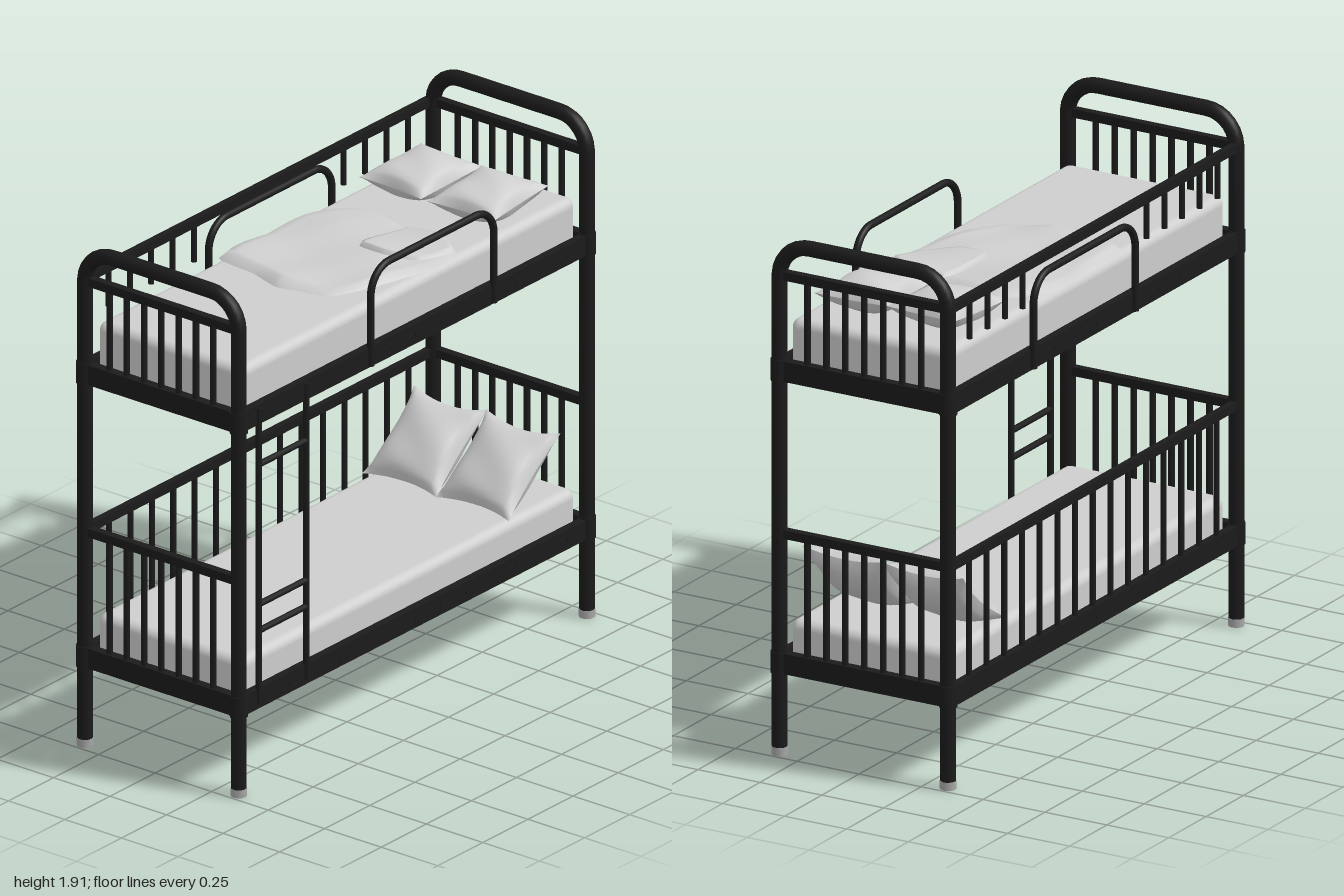
import * as THREE from 'three';
import { RoundedBoxGeometry } from 'three/addons/geometries/RoundedBoxGeometry.js';

const mat = (name, color, side = THREE.FrontSide) =>
  new THREE.MeshStandardMaterial({ name, color, side });

export function createModel() {
  const metal = mat('black metal', 0x1b1b1b);
  const fabric = mat('pale fabric', 0xcecece, THREE.DoubleSide);
  const capGrey = mat('foot cap grey', 0xa8a8a8);
  const model = new THREE.Group();
  model.name = 'bunkBed';

  const V = (x, y, z) => new THREE.Vector3(x, y, z);
  const add = (name, geo, m, x = 0, y = 0, z = 0) => {
    const mesh = new THREE.Mesh(geo, m);
    mesh.name = name;
    mesh.position.set(x, y, z);
    model.add(mesh);
    return mesh;
  };
  const box = (name, w, h, d, x, y, z) => add(name, new THREE.BoxGeometry(w, h, d), metal, x, y, z);
  // Round bar between two points
  const bar = (name, a, b, r, m = metal) => {
    const dir = b.clone().sub(a);
    const mesh = add(name, new THREE.CylinderGeometry(r, r, dir.length(), 12), m);
    mesh.position.copy(a).add(b).multiplyScalar(0.5);
    mesh.quaternion.setFromUnitVectors(V(0, 1, 0), dir.normalize());
    return mesh;
  };
  // Bent tube: two uprights joined by a top bar with rounded corners
  const arch = (name, lo, hi, bottom, top, bend, r, at) => {
    const path = new THREE.CurvePath();
    const a = at(lo, top - bend), b = at(lo + bend, top), c = at(hi - bend, top), d = at(hi, top - bend);
    const k = bend * 0.55;
    path.add(new THREE.LineCurve3(at(lo, bottom), a));
    path.add(new THREE.CubicBezierCurve3(a, at(lo, top - bend + k), at(lo + bend - k, top), b));
    path.add(new THREE.LineCurve3(b, c));
    path.add(new THREE.CubicBezierCurve3(c, at(hi - bend + k, top), at(hi, top - bend + k), d));
    path.add(new THREE.LineCurve3(d, at(hi, bottom)));
    add(name, new THREE.TubeGeometry(path, 160, r, 14), metal);
    for (const s of [lo, hi]) bar(name + 'End', at(s, bottom - 0.002), at(s, bottom + 0.004), r);
  };

  // Bed ends: bent posts, foot caps, rails and spindles
  for (const x of [-0.965, 0.965]) {
    arch('endPosts', -0.338, 0.342, 0.02, 1.88, 0.12, 0.028, (s, y) => V(x, y, s));
    for (const z of [-0.338, 0.342]) {
      bar('footCap', V(x, 0, z), V(x, 0.03, z), 0.029, capGrey);
      for (const y of [0.34, 1.415]) bar('postCollar', V(x, y - 0.04, z), V(x, y + 0.04, z), 0.032);
    }
    for (const [bottom, top] of [[0.34, 0.815], [1.415, 1.765]]) {
      box('endRail', 0.035, 0.075, 0.68, x, bottom, 0);
      box('endTopRail', 0.03, 0.032, 0.68, x, top, 0);
      for (let i = -3; i <= 3; i++)
        bar('endSpindle', V(x, bottom, i * 0.0765), V(x, top, i * 0.0765), 0.0115);
    }
  }

  // Long side rails with bolts
  for (const y of [0.338, 1.415])
    for (const z of [-0.342, 0.342]) {
      box('sideRail', 1.93, 0.075, 0.03, 0, y, z);
      for (let i = -6; i <= 6; i++) {
        const s = Math.sign(z);
        bar('bolt', V(i * 0.14, y, z + s * 0.01), V(i * 0.14, y, z + s * 0.019), 0.008);
      }
    }

  // Back guards: full spindles below, short ones above
  box('lowerBackGuard', 1.93, 0.032, 0.025, 0, 0.815, -0.342);
  box('upperBackGuard', 1.93, 0.032, 0.025, 0, 1.765, -0.345);
  for (let i = 0; i < 16; i++) {
    const x = -0.945 + i * 0.1185;
    if (i > 0) bar('lowerSpindle', V(x, 0.36, -0.342), V(x, 0.815, -0.342), 0.0105);
    if (x < -0.3 || x > 0.45) bar('upperSpindle', V(x, 1.615, -0.345), V(x, 1.765, -0.345), 0.0105);
  }

  // Guard hoops on the upper bunk
  arch('frontHoop', -0.252, 0.43, 1.385, 1.745, 0.1, 0.0135, (s, y) => V(s, y, 0.357));
  arch('backHoop', -0.252, 0.43, 1.385, 1.715, 0.1, 0.0135, (s, y) => V(s, y, -0.36));

  // Ladder
  for (const x of [-0.872, -0.608]) bar('ladderUpright', V(x, 0.32, 0.356), V(x, 1.44, 0.356), 0.0115);
  for (const y of [0.595, 0.695, 1.225]) bar('ladderRung', V(-0.872, y, 0.356), V(-0.608, y, 0.356), 0.0115);

  // Mattresses on flat bases
  for (const [bottom, top] of [[0.31, 0.49], [1.39, 1.595]]) {
    const h = top - bottom;
    add('mattress', new RoundedBoxGeometry(1.86, h, 0.645, 4, 0.035), fabric, 0.005, bottom + h / 2, 0);
    add('mattressBase', new THREE.BoxGeometry(1.9, 0.02, 0.66), fabric, 0, bottom + 0.01, 0);
  }

  // Pillows: pinched edges, pointed corners, full centre
  const pillow = (name, w, d, h) => {
    const geo = new THREE.BoxGeometry(2, 2, 2, 18, 1, 18);
    const p = geo.attributes.position;
    for (let i = 0; i < p.count; i++) {
      const u = p.getX(i), v = p.getZ(i);
      const puff = Math.pow(Math.max(0, (1 - u * u) * (1 - v * v)), 0.5);
      const wrinkle = 1 + 0.06 * Math.sin(5 * u + 3 * v);
      p.setXYZ(i,
        (w / 2) * u * (1 - 0.14 * (1 - v * v) * u * u),
        Math.sign(p.getY(i)) * (h / 2) * puff * wrinkle + 0.012 * u * u * v * v,
        (d / 2) * v * (1 - 0.12 * (1 - u * u) * v * v));
    }
    geo.computeVertexNormals();
    return add(name, geo, fabric);
  };
  for (const s of [-1, 1]) {
    const upper = pillow('upperPillow', 0.33, 0.29, 0.125);
    upper.position.set(0.66, 1.645, s * 0.148);
    upper.rotation.set(0, s * 0.05, 0.05);
    const lower = pillow('lowerPillow', 0.37, 0.33, 0.14);
    lower.position.set(0.705, 0.605, s * 0.16);
    lower.rotation.z = 0.68;
  }

  // Crumpled blanket: rings shrinking from a loose outline to its centre
  const blanket = (name, outline, cx, cz, base, lift) => {
    const curve = new THREE.CatmullRomCurve3(outline.map(([x, z]) => V(x, 0, z)), true, 'catmullrom', 0.3);
    const n = 64, rings = 12, pos = [], idx = [];
    const edge = curve.getPoints(n);
    for (let r = 0; r <= rings; r++) {
      const t = 1 - r / rings;
      for (let i = 0; i <= n; i++) {
        const x = cx + (edge[i].x - cx) * t, z = cz + (edge[i].z - cz) * t;
        const fold = 0.006 * Math.sin(14 * x + 9 * z) + 0.004 * Math.sin(23 * z - 8 * x);
        pos.push(x, r === 0 ? base : base + lift + fold * (0.4 + 0.6 * t), z);
        if (r < rings && i < n) {
          const a = r * (n + 1) + i, b = a + n + 1;
          idx.push(a, b, a + 1, a + 1, b, b + 1);
        }
      }
    }
    const geo = new THREE.BufferGeometry();
    geo.setAttribute('position', new THREE.Float32BufferAttribute(pos, 3));
    // Outline runs clockwise from above, so flip to face up
    geo.setIndex(idx);
    geo.computeVertexNormals();
    const nrm = geo.attributes.normal;
    if (nrm.getY(5 * (n + 1) + 3) < 0) {
      geo.setIndex(idx.slice().reverse());
      geo.computeVertexNormals();
    }
    add(name, geo, fabric);
  };
  blanket('blanket', [[-0.24, -0.325], [0, -0.32], [0.2, -0.325], [0.33, -0.25], [0.4, -0.18], [0.37, -0.02],
    [0.34, 0.06], [0.34, 0.2], [0.29, 0.31], [0.13, 0.31], [-0.1, 0.25], [-0.26, 0.18], [-0.29, 0.06],
    [-0.31, -0.02], [-0.27, -0.15]], 0.03, -0.02, 1.594, 0.022);
  blanket('blanketFold', [[0.1, 0.02], [0.22, 0.03], [0.335, 0.06], [0.34, 0.2], [0.28, 0.305],
    [0.15, 0.25], [0.09, 0.13]], 0.22, 0.14, 1.61, 0.02);

  return model;
}
